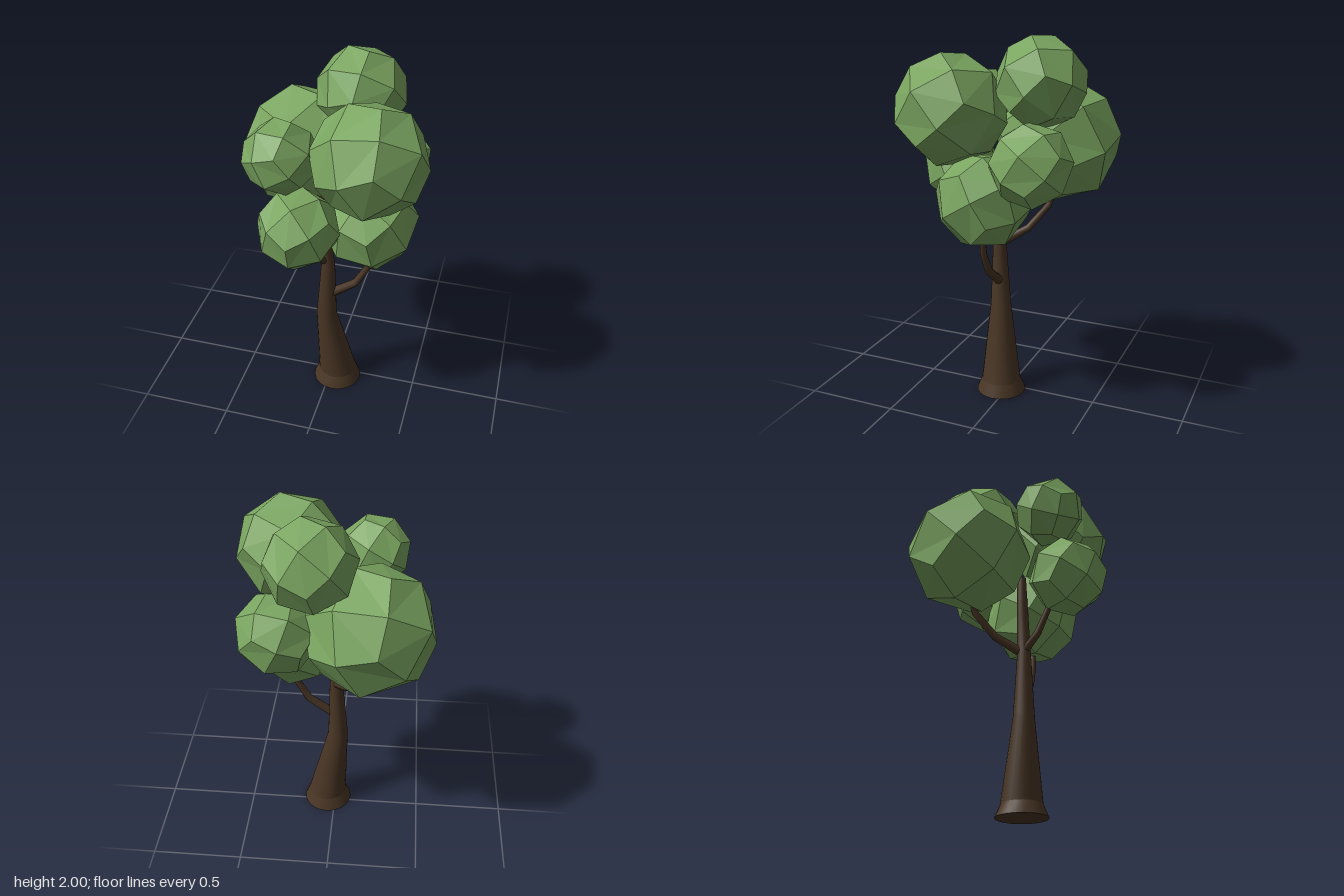
import * as THREE from 'three';

const V = (x, y, z) => new THREE.Vector3(x, y, z);
const bark = new THREE.MeshStandardMaterial({ color: 0x483524 });
const leaf = new THREE.MeshStandardMaterial({ color: 0x7aa560, flatShading: true });

// Loft of round sections [x, y, z, radius]; level = keep the rings horizontal
function limb(name, sections, sides, level) {
  const points = sections.map(([x, y, z]) => V(x, y, z));
  const last = points.length - 1;
  const pos = [], index = [];
  points.forEach((p, i) => {
    const dir = level ? V(0, 1, 0)
      : points[Math.min(i + 1, last)].clone().sub(points[Math.max(i - 1, 0)]).normalize();
    const turn = new THREE.Quaternion().setFromUnitVectors(V(0, 1, 0), dir);
    for (let j = 0; j < sides; j++) {
      const a = (j / sides) * Math.PI * 2;
      const q = V(Math.sin(a), 0, Math.cos(a)).multiplyScalar(sections[i][3]).applyQuaternion(turn).add(p);
      pos.push(q.x, q.y, q.z);
      if (i < last) {
        const a0 = i * sides + j, b0 = i * sides + (j + 1) % sides;
        index.push(a0, b0, b0 + sides, a0, b0 + sides, a0 + sides);
      }
    }
  });
  const geo = new THREE.BufferGeometry();
  geo.setAttribute('position', new THREE.Float32BufferAttribute(pos, 3));
  geo.setIndex(index);
  geo.computeVertexNormals();
  const mesh = new THREE.Mesh(geo, bark);
  mesh.name = name;
  return mesh;
}

// Faceted leaf ball: a 2x2x2 cube pushed out to a sphere.
// One cube corner points along `corner`, with one of its edges heading along `edge`.
function leafBall(name, center, radius, corner, edge) {
  const geo = new THREE.BoxGeometry(2, 2, 2, 2, 2, 2);
  const p = geo.attributes.position, v = V(0, 0, 0);
  for (let i = 0; i < p.count; i++) {
    v.fromBufferAttribute(p, i).normalize().multiplyScalar(radius);
    p.setXYZ(i, v.x, v.y, v.z);
  }
  const basis = (n, t) => {
    const up = n.clone().normalize();
    const side = t.clone().addScaledVector(up, -t.dot(up)).normalize();
    return new THREE.Matrix4().makeBasis(up, side, up.clone().cross(side));
  };
  const turn = basis(V(...corner), V(...edge)).multiply(basis(V(1, 1, 1), V(1, 1, -2)).transpose());
  geo.applyMatrix4(turn);
  geo.computeVertexNormals();
  const mesh = new THREE.Mesh(geo, leaf);
  mesh.name = name;
  mesh.position.set(...center);
  return mesh;
}

export function createModel() {
  const tree = new THREE.Group();
  tree.name = 'tree';

  // Trunk with a flared foot
  tree.add(limb('trunkFoot', [[0.043, 0, 0.035, 0.138], [0.045, 0.07, 0.035, 0.109]], 20, true));
  tree.add(limb('trunk', [
    [0.045, 0.07, 0.035, 0.109], [-0.015, 0.5, 0.062, 0.057],
    [-0.005, 0.86, 0.063, 0.037], [-0.035, 1.1, 0.063, 0.03], [-0.04, 1.3, 0.06, 0.024],
  ], 20, true));
  const base = new THREE.Mesh(new THREE.CircleGeometry(0.138, 20), bark);
  base.name = 'trunkBase';
  base.rotation.x = Math.PI / 2;
  base.position.set(0.043, 0, 0.035);
  tree.add(base);

  // Branches reaching into the foliage
  tree.add(limb('leftBranch', [
    [0, 0.64, 0.06, 0.027], [0.15, 0.75, 0.06, 0.022],
    [0.215, 0.87, 0.06, 0.018], [0.235, 1.02, 0.06, 0.014],
  ], 10));
  tree.add(limb('frontBranch', [
    [-0.01, 0.87, 0.06, 0.024], [-0.06, 0.95, 0.15, 0.02], [-0.09, 1.15, 0.25, 0.015],
  ], 10));
  tree.add(limb('backBranch', [
    [-0.01, 0.87, 0.05, 0.026], [-0.07, 0.95, -0.08, 0.021],
    [-0.12, 1.08, -0.18, 0.018], [-0.15, 1.22, -0.21, 0.015],
  ], 10));

  // Foliage: name, center, radius, corner direction, edge direction
  [
    ['frontLeftFoliage', [0.243, 1.63, 0.22], 0.294, [0.18, 0.98, 0.08], [0.74, 0, -0.67]],
    ['backRightFoliage', [-0.195, 1.418, -0.2], 0.342, [-0.26, 0.95, -0.15], [-0.1, 0, -0.99]],
    ['topFoliage', [0.098, 1.772, -0.21], 0.238, [0.18, 0.97, 0.16], [0, 0, 1]],
    ['backLeftFoliage', [0.268, 1.388, -0.225], 0.218, [0.2, 0.9, 0.1], [0.4, 0, -1]],
    ['lowerLeftFoliage', [0.218, 1.17, 0.057], 0.258, [0.15, 0.1, 1], [0.2, -1, 0]],
    ['lowerFrontFoliage', [-0.087, 1.252, 0.325], 0.214, [0, 0.05, 1], [0, -1, 0]],
    ['upperRightFoliage', [-0.19, 1.608, 0.255], 0.19, [0.3, 0.95, -0.1], [0, 0, 1]],
  ].forEach((ball) => tree.add(leafBall(...ball)));

  return tree;
}
